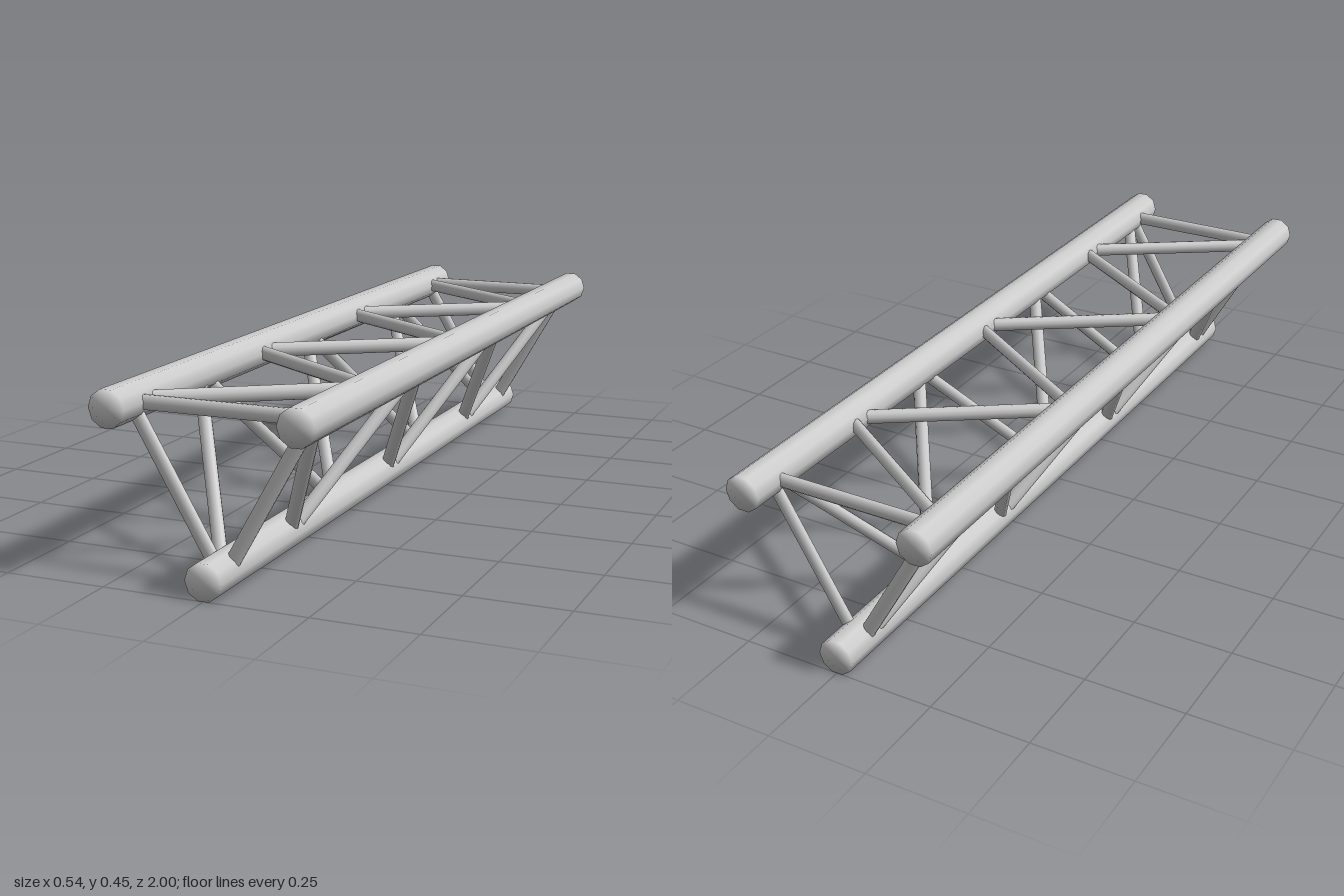
import * as THREE from 'three';
import { mergeVertices } from 'three/addons/utils/BufferGeometryUtils.js';

const material = new THREE.MeshStandardMaterial({ color: 0xcccccc });
const SQUASH = 0.65; // braces are slightly flattened along the truss
const HALF = 0.89;   // z reach of the zigzag lacing
const BAYS = 6;

// Ten-sided capped bar whose normals are shared with its end faces
function chord(name, x, y) {
  let geo = new THREE.CylinderGeometry(0.045, 0.045, 2, 10);
  geo.rotateY(Math.PI / 10).rotateX(Math.PI / 2);
  geo.deleteAttribute('uv');
  geo.deleteAttribute('normal');
  geo = mergeVertices(geo);
  geo.computeVertexNormals();
  const mesh = new THREE.Mesh(geo, material);
  mesh.name = name;
  mesh.position.set(x, y, 0);
  return mesh;
}

// Thin bar between two [x, y] points at z positions za and zb
function brace(name, a, za, b, zb) {
  const start = new THREE.Vector3(a[0], a[1], za / SQUASH);
  const end = new THREE.Vector3(b[0], b[1], zb / SQUASH);
  const dir = end.clone().sub(start);
  const geo = new THREE.CylinderGeometry(0.018, 0.018, dir.length(), 10);
  const mid = start.add(end).multiplyScalar(0.5);
  geo.applyQuaternion(new THREE.Quaternion().setFromUnitVectors(
    new THREE.Vector3(0, 1, 0), dir.normalize()));
  geo.translate(mid.x, mid.y, mid.z).scale(1, 1, SQUASH);
  const mesh = new THREE.Mesh(geo, material);
  mesh.name = name;
  return mesh;
}

// One face of the truss: zigzag diagonals and a straight bar at each end
function lacedFace(name, a, b) {
  const face = new THREE.Group();
  face.name = name;
  const step = (2 * HALF) / BAYS;
  for (let i = 0; i < BAYS; i++) {
    const z = -HALF + i * step;
    const [from, to] = i % 2 ? [b, a] : [a, b];
    face.add(brace('diagonalBrace', from, z, to, z + step));
  }
  for (const z of [-0.908, 0.908]) face.add(brace('endBrace', a, z, b, z));
  return face;
}

export function createModel() {
  const model = new THREE.Group();
  model.name = 'triangularTruss';

  // Three long tubes
  model.add(
    chord('upperLeftChord', 0.225, 0.405),
    chord('upperRightChord', -0.225, 0.405),
    chord('lowerChord', 0, 0.043)
  );

  // Lacing on the three faces; the first point is where each zigzag starts
  model.add(
    lacedFace('topLacing', [-0.225, 0.405], [0.225, 0.405]),
    lacedFace('leftLacing', [0.22, 0.405], [0.012, 0.043]),
    lacedFace('rightLacing', [-0.012, 0.043], [-0.22, 0.405])
  );
  return model;
}
